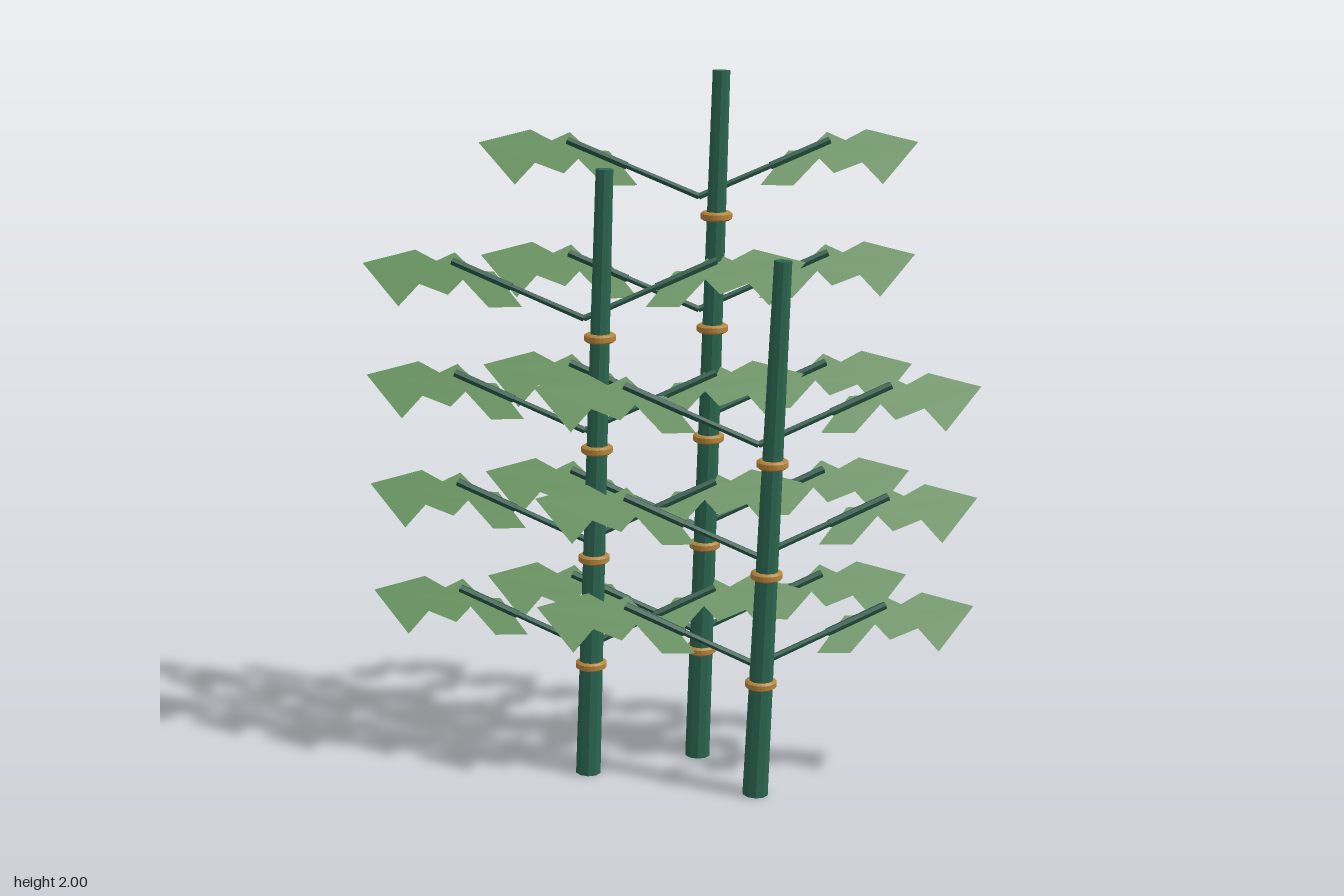
import * as THREE from 'three';

const mat = (color, extra = {}) => new THREE.MeshStandardMaterial({ color, flatShading: true, ...extra });
const stalkMat = mat(0x2b6650);
const stemMat = mat(0x235543);
const ringMat = mat(0xb5853c);
const leafMat = mat(0x5f8f55, { side: THREE.DoubleSide });

// Lean backwards per unit of rise; the leaf lies just behind its stem
const STEM_BACK = -0.65;
const LEAF_BACK = -0.73;

// Three overlapping jagged blades, measured from the foot of the stem
const OUTLINE = [
  [0.17, 0.028], [0.25, 0.115], [0.305, 0.118], [0.36, 0.163], [0.41, 0.142],
  [0.47, 0.17], [0.614, 0.137],
  [0.51, 0.03], [0.455, 0.085], [0.375, 0.058], [0.335, 0.095], [0.262, 0.027],
];

// Chamfered cross-section of the joint rings
const RING = [
  [0.022, -0.012], [0.037, -0.012], [0.044, -0.007],
  [0.044, 0.007], [0.037, 0.012], [0.022, 0.012],
].map(([r, y]) => new THREE.Vector2(r, y));

function add(parent, name, geometry, material) {
  const mesh = new THREE.Mesh(geometry, material);
  mesh.name = name;
  parent.add(mesh);
  return mesh;
}

// Tapered round bar between two points
function bar(parent, name, a, b, r0, r1, sides, material) {
  const dir = b.clone().sub(a);
  const mesh = add(parent, name, new THREE.CylinderGeometry(r1, r0, dir.length(), sides), material);
  mesh.position.copy(a).add(b).multiplyScalar(0.5);
  mesh.quaternion.setFromUnitVectors(new THREE.Vector3(0, 1, 0), dir.normalize());
}

// Stem, midrib and flat leaf on one side (1 = left, -1 = right)
function branch(side) {
  const group = new THREE.Group();
  group.name = side > 0 ? 'leftBranch' : 'rightBranch';
  const at = (x, y) => new THREE.Vector3(side * x, y, STEM_BACK * y);
  const tip = at(0.365, 0.143);
  bar(group, 'stem', at(0, 0), tip, 0.01, 0.008, 6, stemMat);
  bar(group, 'midrib', at(0.2, 0.078), tip, 0.012, 0.012, 6, stemMat);

  const shape = new THREE.Shape(OUTLINE.map(([x, y]) => new THREE.Vector2(side * x, y)));
  const geometry = new THREE.ShapeGeometry(shape);
  const p = geometry.attributes.position;
  for (let i = 0; i < p.count; i++) p.setZ(i, LEAF_BACK * p.getY(i));
  geometry.computeVertexNormals();
  add(group, 'leaf', geometry, leafMat);
  return group;
}

// One leaning stalk with a ring and a pair of branches at each joint
function plant(name, x, z, height, joints) {
  const group = new THREE.Group();
  group.name = name;
  group.position.set(x, 0, z);
  const lean = 0.06;
  bar(group, 'stalk', new THREE.Vector3(0, 0, 0), new THREE.Vector3(lean, height, 0), 0.037, 0.025, 10, stalkMat);
  for (let i = 0; i < joints; i++) {
    const y = 0.331 + i * 0.3175;
    const ring = add(group, 'ring', new THREE.LatheGeometry(RING, 24), ringMat);
    ring.position.set(lean * y / height, y, 0);
    for (const side of [1, -1]) {
      const b = branch(side);
      b.position.y = y + 0.054;
      group.add(b);
    }
  }
  return group;
}

export function createModel() {
  const model = new THREE.Group();
  model.name = 'stalkCluster';
  model.add(
    plant('tallPlant', 0.08, -0.1, 2, 5),
    plant('middlePlant', -0.238, 0.026, 1.748, 4),
    plant('shortPlant', 0.238, 0.185, 1.525, 3),
  );
  return model;
}
